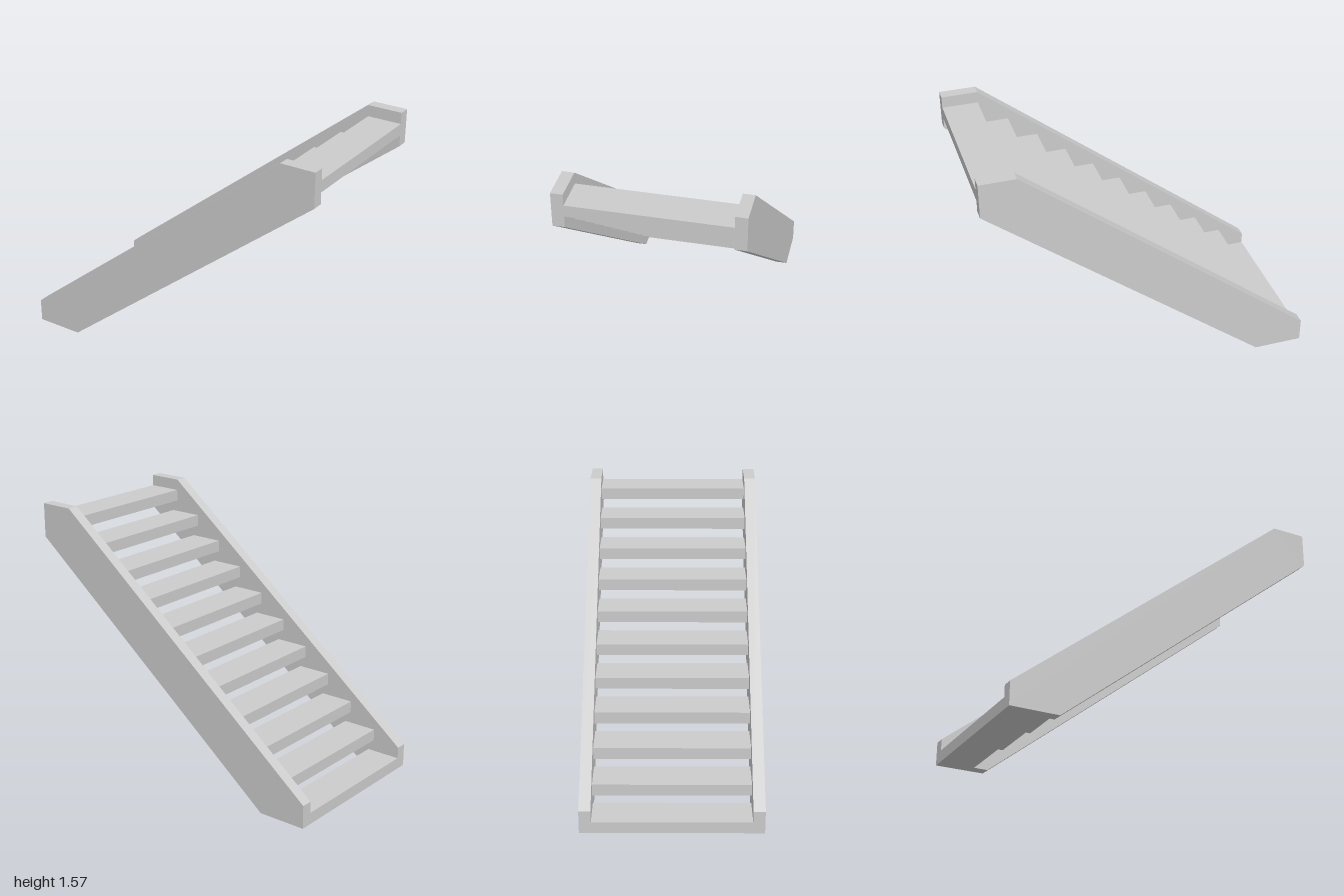
import * as THREE from 'three';

export function createModel() {
  const group = new THREE.Group();
  group.name = 'openStaircase';
  const material = new THREE.MeshStandardMaterial({ color: 0xcccccc, flatShading: true });

  const innerZ = 0.465, outerZ = 0.535;

  // Side stringers: sloped boards cut level at the floor and square at the top
  const outline = new THREE.Shape([
    [-1, 0], [-0.7, 0], [1, 1.36], [1, 1.572], [0.783, 1.572], [-1, 0.143],
  ].map(([x, y]) => new THREE.Vector2(x, y)));
  const stringerGeometry = new THREE.ExtrudeGeometry(outline, {
    depth: outerZ - innerZ, bevelEnabled: false,
  });
  for (const [name, z] of [['frontStringer', innerZ], ['backStringer', -outerZ]]) {
    const stringer = new THREE.Mesh(stringerGeometry, material);
    stringer.name = name;
    stringer.position.z = z;
    group.add(stringer);
  }

  // Treads: overlapping planks with open gaps between them
  const count = 11, depth = 0.215, thickness = 0.072;
  const run = (2 - depth) / (count - 1), rise = 0.143;
  const treadGeometry = new THREE.BoxGeometry(depth, thickness, innerZ * 2);
  for (let i = 0; i < count; i++) {
    const tread = new THREE.Mesh(treadGeometry, material);
    tread.name = `tread${i + 1}`;
    tread.position.set(-1 + depth / 2 + i * run, thickness / 2 + i * rise, 0);
    group.add(tread);
  }
  return group;
}
